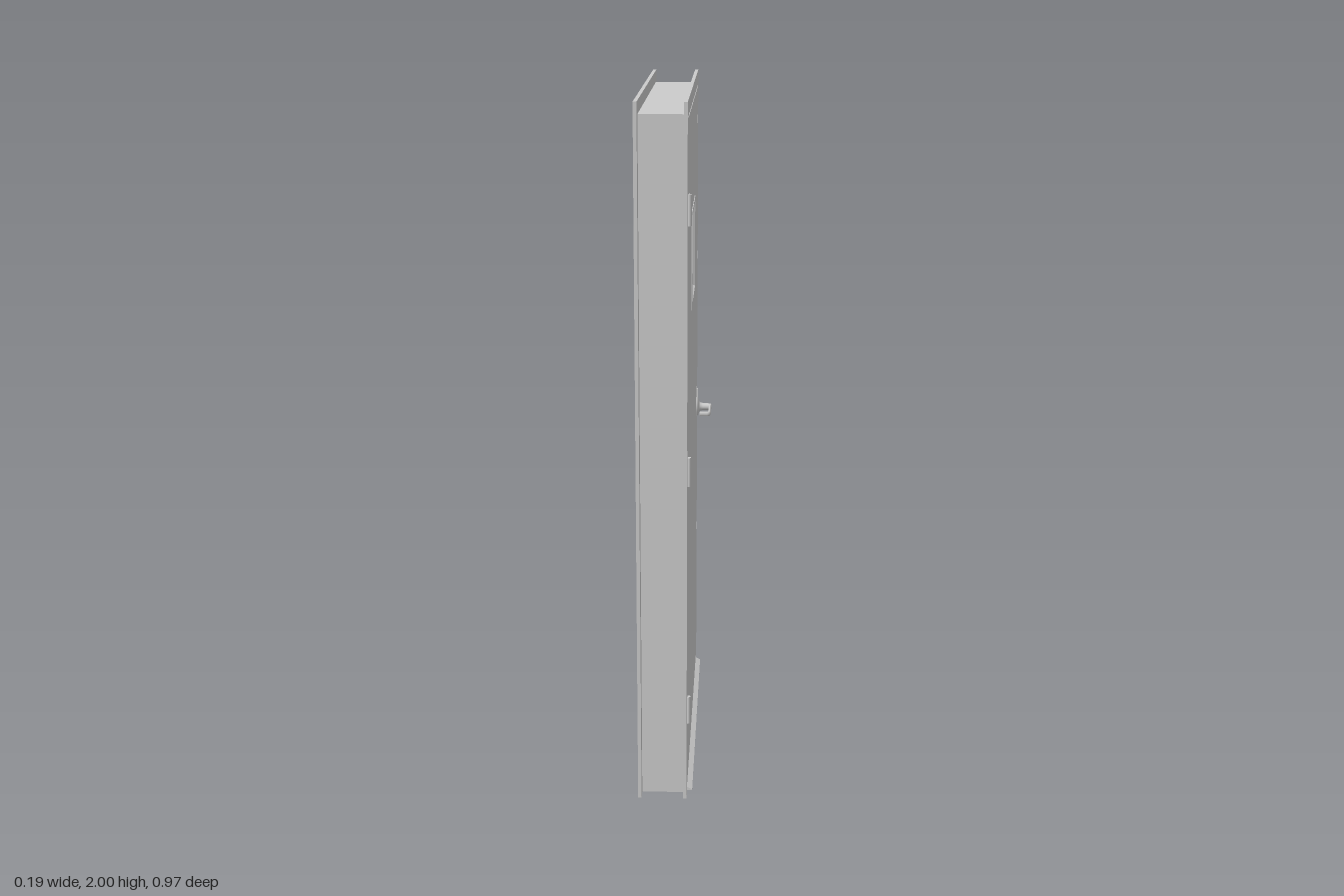
import * as THREE from 'three';

const grey = new THREE.MeshStandardMaterial({ color: 0xcccccc });
const flat = new THREE.MeshStandardMaterial({ color: 0xcccccc, flatShading: true, side: THREE.DoubleSide });
const glassMat = new THREE.MeshStandardMaterial({ color: 0xf4fff0 });

const DOOR_BACK = 0.002, DOOR_FRONT = 0.044, DOOR_MID = (DOOR_BACK + DOOR_FRONT) / 2;
const WINDOW_Y = 1.518;

function rect(PathType, halfW, y0, y1) {
  const p = new PathType();
  p.moveTo(-halfW, y0);
  p.lineTo(halfW, y0);
  p.lineTo(halfW, y1);
  p.lineTo(-halfW, y1);
  p.closePath();
  return p;
}

// Extrudes a shape drawn across the opening so that it fills x0..x1
function slab(shape, x0, x1) {
  return new THREE.ExtrudeGeometry(shape, { depth: x1 - x0, bevelEnabled: false })
    .rotateY(Math.PI / 2).translate(x0, 0, 0);
}

// Two posts and a head in one piece
function portal(outerW, outerTop, innerW, innerTop, x0, x1) {
  const s = new THREE.Shape();
  [[-outerW, 0], [-innerW, 0], [-innerW, innerTop], [innerW, innerTop], [innerW, 0],
    [outerW, 0], [outerW, outerTop], [-outerW, outerTop]]
    .forEach(([a, b], i) => (i ? s.lineTo(a, b) : s.moveTo(a, b)));
  s.closePath();
  return slab(s, x0, x1);
}

export function createModel() {
  const model = new THREE.Group();
  model.name = 'doorAssembly';
  const add = (name, geo, mat = grey, parent = model) => {
    const m = new THREE.Mesh(geo, mat);
    m.name = name;
    parent.add(m);
    return m;
  };

  // Frame: face flanges on both sides, jamb between them, raised stop behind the door
  add('rearFlange', portal(0.485, 2, 0.437, 1.958, -0.097, -0.087));
  add('frontFlange', portal(0.485, 2, 0.437, 1.958, 0.034, 0.044));
  add('jamb', portal(0.449, 1.965, 0.437, 1.958, -0.087, 0.034));
  add('doorStop', portal(0.445, 1.962, 0.421, 1.942, -0.058, 0.001));

  // Saddle threshold
  const sill = new THREE.Shape();
  [[-0.097, 0], [0.059, 0], [0.059, 0.003], [0.043, 0.011], [-0.081, 0.011], [-0.097, 0.003]]
    .forEach(([a, b], i) => (i ? sill.lineTo(a, b) : sill.moveTo(a, b)));
  add('threshold', new THREE.ExtrudeGeometry(sill, { depth: 0.874, bevelEnabled: false })
    .translate(0, 0, -0.437));

  // Door leaf with a window cut-out
  const leaf = rect(THREE.Shape, 0.4335, 0.018, 1.953);
  leaf.holes.push(rect(THREE.Path, 0.131, WINDOW_Y - 0.129, WINDOW_Y + 0.129));
  add('doorLeaf', slab(leaf, DOOR_BACK, DOOR_FRONT));

  // Glass
  add('windowGlass', new THREE.BoxGeometry(0.006, 0.258, 0.262)
    .translate(DOOR_MID, WINDOW_Y, 0), glassMat);

  // Window trim and lever on each side of the leaf (s = 1 front, -1 rear)
  for (const s of [1, -1]) {
    const side = s > 0 ? 'front' : 'rear';
    const face = DOOR_MID + s * 0.021;

    // Thin surround and sloped reveal running in to the glass
    const ring = rect(THREE.Shape, 0.144, WINDOW_Y - 0.142, WINDOW_Y + 0.142);
    ring.holes.push(rect(THREE.Path, 0.13, WINDOW_Y - 0.128, WINDOW_Y + 0.128));
    const edge = face + s * 0.002;
    add(side + 'WindowTrim', slab(ring, Math.min(face, edge), Math.max(face, edge)));
    const r = Math.SQRT2;
    add(side + 'WindowReveal',
      new THREE.CylinderGeometry(0.13 * r, 0.121 * r, 0.02, 4, 1, true, Math.PI / 4)
        .rotateZ(-s * Math.PI / 2)
        .scale(1, 0.985, 1)
        .translate(DOOR_MID + s * 0.013, WINDOW_Y, 0), flat);

    // Lever handle: dished rose, neck and returned lever
    const handle = new THREE.Group();
    handle.name = side + 'Handle';
    handle.position.set(face, 0.938, -0.366);
    model.add(handle);
    const profile = [[0, 0], [0.031, 0], [0.031, 0.003], [0.027, 0.007], [0.018, 0.010],
      [0.014, 0.013], [0.0115, 0.022], [0.0105, 0.042], [0.0105, 0.047], [0.008, 0.05], [0, 0.05]]
      .map(([a, b]) => new THREE.Vector2(a, b));
    add(side + 'RoseAndNeck',
      new THREE.LatheGeometry(profile, 32).rotateZ(-s * Math.PI / 2), grey, handle);
    const P = (x, z) => new THREE.Vector3(s * x, 0, z);
    const path = new THREE.CurvePath();
    path.add(new THREE.LineCurve3(P(0.045, 0), P(0.045, 0.074)));
    path.add(new THREE.QuadraticBezierCurve3(P(0.045, 0.074), P(0.045, 0.082), P(0.037, 0.082)));
    path.add(new THREE.LineCurve3(P(0.037, 0.082), P(0.016, 0.082)));
    add(side + 'Lever', new THREE.TubeGeometry(path, 48, 0.0045, 12)
      .scale(1, 1.7, 1), grey, handle);
    // Closed tip of the lever
    add(side + 'LeverTip', new THREE.SphereGeometry(0.0045, 12, 8)
      .scale(0.6, 1.7, 1).translate(s * 0.016, 0, 0.082), grey, handle);
  }

  // Latch guard by the lock edge
  add('latchGuard', new THREE.BoxGeometry(0.006, 0.08, 0.006).translate(0.045, 0.939, -0.435));

  // Three hinges: knuckle and leaf plate
  for (const y of [1.715, 0.988, 0.262]) {
    const hinge = new THREE.Group();
    hinge.name = 'hinge';
    hinge.position.set(0.047, y, 0.435);
    model.add(hinge);
    add('hingeKnuckle', new THREE.CylinderGeometry(0.0065, 0.0065, 0.084, 16), grey, hinge);
    add('hingePlate', new THREE.BoxGeometry(0.035, 0.084, 0.003)
      .translate(-0.018, 0, 0), grey, hinge);
  }

  return model;
}
